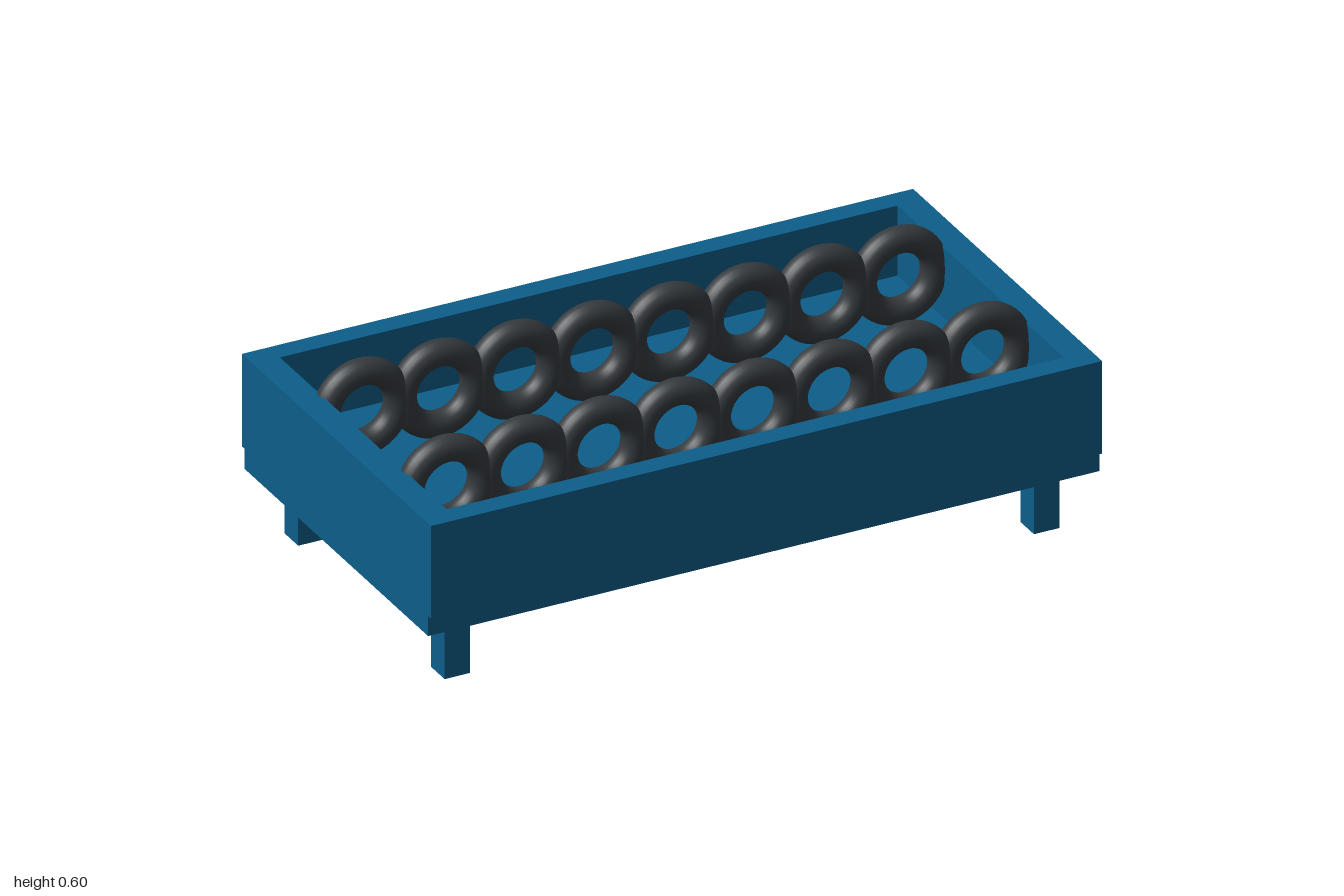
import * as THREE from 'three';

export function createModel() {
  const model = new THREE.Group();
  const blue = new THREE.MeshStandardMaterial({ color: 0x0d5e8a });
  blue.name = 'blue paint';
  const charcoal = new THREE.MeshStandardMaterial({ color: 0x353a3e });
  charcoal.name = 'charcoal rubber';

  const add = (name, geometry, material, x, y, z) => {
    const mesh = new THREE.Mesh(geometry, material);
    mesh.name = name;
    mesh.position.set(x, y, z);
    model.add(mesh);
  };

  // Open rectangular frame, extruded upwards
  const rectangle = (Type, w, d) => new Type([
    new THREE.Vector2(-w, -d), new THREE.Vector2(w, -d),
    new THREE.Vector2(w, d), new THREE.Vector2(-w, d),
  ]);
  const outline = rectangle(THREE.Shape, 1, 0.542);
  outline.holes.push(rectangle(THREE.Path, 0.92, 0.478));
  const frame = new THREE.ExtrudeGeometry(outline, { depth: 0.278, bevelEnabled: false });
  frame.rotateX(-Math.PI / 2);
  add('trayFrame', frame, blue, 0, 0.242, 0);

  // Base slab, set in along the long sides, and the raised inner floor
  add('baseSlab', new THREE.BoxGeometry(2, 0.06, 1.052), blue, 0, 0.212, 0);
  add('trayFloor', new THREE.BoxGeometry(1.84, 0.068, 0.956), blue, 0, 0.276, 0);

  // Four square legs
  const leg = new THREE.BoxGeometry(0.076, 0.182, 0.078);
  for (const x of [-0.878, 0.878])
    for (const z of [-0.42, 0.42]) add('leg', leg, blue, x, 0.091, z);

  // Two rows of eight overlapping upright rings
  const ring = new THREE.TorusGeometry(0.106, 0.038, 20, 48);
  for (const z of [-0.241, 0.241])
    for (let i = 0; i < 8; i++) add('ring', ring, charcoal, -0.8 + i * 1.6 / 7, 0.455, z);

  return model;
}
